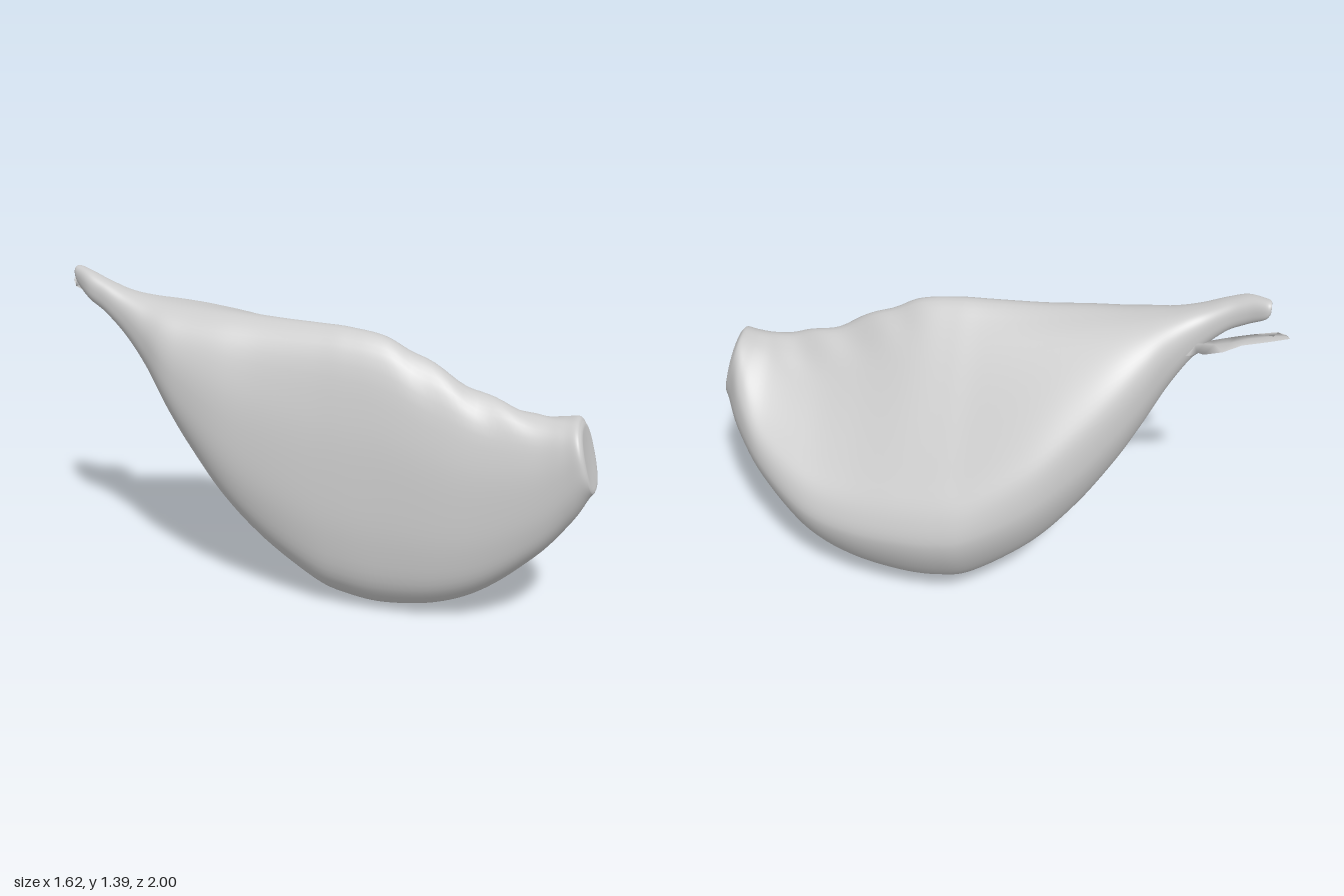
import * as THREE from 'three';

const grey = new THREE.MeshStandardMaterial({ color: 0xcccccc, roughness: 0.8, side: THREE.DoubleSide });

// Skin a list of closed rings (arrays of Vector3) and close both ends with a fan.
function loft(name, rings) {
  const n = rings[0].length, pos = [], idx = [];
  const centre = ring => ring.reduce((a, p) => a.add(p), new THREE.Vector3()).divideScalar(n);
  for (const ring of rings) for (const p of ring) pos.push(p.x, p.y, p.z);
  const last = (rings.length - 1) * n, start = rings.length * n, end = start + 1;
  for (const ring of [rings[0], rings[rings.length - 1]]) pos.push(...centre(ring).toArray());
  for (let j = 0; j < n; j++) {
    const k = (j + 1) % n;
    for (let i = 0; i < last; i += n) idx.push(i + j, i + n + j, i + k, i + n + j, i + n + k, i + k);
    idx.push(start, j, k, end, last + k, last + j);
  }
  const geo = new THREE.BufferGeometry();
  geo.setAttribute('position', new THREE.Float32BufferAttribute(pos, 3));
  geo.setIndex(idx);
  geo.computeVertexNormals();
  const mesh = new THREE.Mesh(geo, grey);
  mesh.name = name;
  return mesh;
}

// Clove axes: s runs from stem to root, w from the flat side to the bulging side.
const place = (s, w, y) => new THREE.Vector3(0.67 * s + 0.74 * w, y, 0.74 * s - 0.67 * w);

// Stations along the clove: s, flat side w, bulging side w, bottom y, top y, roundness.
const stations = [
  [-1.17, -0.03, 0.02, 1.33, 1.38, 1],
  [-1.15, -0.05, 0.025, 1.3, 1.385, 1],
  [-1.08, -0.1, 0.0, 1.25, 1.375, 1],
  [-1.0, -0.12, -0.005, 1.2, 1.345, 1],
  [-0.9, -0.145, 0.025, 1.1, 1.305, 1],
  [-0.8, -0.185, 0.1, 0.96, 1.28, 1],
  [-0.7, -0.235, 0.21, 0.78, 1.27, 0.9],
  [-0.6, -0.26, 0.3, 0.61, 1.265, 0.78],
  [-0.45, -0.28, 0.405, 0.395, 1.26, 0.58],
  [-0.27, -0.28, 0.505, 0.21, 1.25, 0.35],
  [-0.04, -0.28, 0.575, 0.055, 1.24, 0.12],
  [0.1, -0.28, 0.58, 0.012, 1.232, 0.04],
  [0.27, -0.28, 0.555, 0.0, 1.2, 0],
  [0.5, -0.285, 0.5, 0.042, 1.085, 0.03],
  [0.7, -0.285, 0.425, 0.14, 0.995, 0.1],
  [0.9, -0.285, 0.28, 0.32, 0.95, 0.28],
  [1.02, -0.285, 0.135, 0.5, 0.945, 0.65],
  [1.08, -0.285, 0.02, 0.62, 0.945, 1],
  [1.1, -0.275, -0.015, 0.65, 0.93, 1],
];

// Unit cross-section, clockwise from the ridge: across (0 flat, 1 bulge), height.
const section = new THREE.CatmullRomCurve3([
  [0.21, 1], [0.34, 0.93], [0.57, 0.755], [0.81, 0.57], [0.95, 0.45], [0.99, 0.34], [0.86, 0.15], [0.6, 0.03],
  [0.36, 0], [0.16, 0.025], [0.04, 0.12], [0, 0.28], [0, 0.48], [0.03, 0.72], [0.11, 0.94],
].map(([a, b]) => new THREE.Vector3(a, b, 0)), true, 'centripetal');

// Slightly squared circle that the section relaxes into toward both ends.
const squared = v => 0.5 + 0.5 * Math.sign(v) * Math.abs(v) ** 0.85;

// Smooth interpolation between stations.
function stationAt(t) {
  const f = t * (stations.length - 1), i = Math.min(Math.floor(f), stations.length - 2), u = f - i;
  const at = k => stations[Math.max(0, Math.min(stations.length - 1, k))];
  return stations[i].map((p1, c) => {
    const p0 = at(i - 1)[c], p2 = at(i + 1)[c], p3 = at(i + 2)[c];
    return p1 + 0.5 * u * (p2 - p0 + u * (2 * p0 - 5 * p1 + 4 * p2 - p3 + u * (3 * (p1 - p2) + p3 - p0)));
  });
}

function cloveBody() {
  const around = 72, along = 114, rings = [];
  const outline = Array.from({ length: around }, (_, j) => section.getPoint(j / around));
  for (let i = 0; i <= along; i++) {
    const [s, wl, wr, yb, yt, round] = stationAt(i / along);
    // the root end leans back so that its scar faces slightly upward
    const lean = 0.07 * THREE.MathUtils.smoothstep(s, 0.85, 1.08);
    // shrivelled dents along the ridge near the root
    const fade = THREE.MathUtils.smoothstep(s, 0.2, 0.4) * (1 - THREE.MathUtils.smoothstep(s, 0.75, 0.95));
    rings.push(outline.map((p, j) => {
      const ang = (j / around) * Math.PI * 2 - 0.35;
      const a = THREE.MathUtils.lerp(p.x, squared(Math.sin(ang)), round);
      const b = THREE.MathUtils.lerp(p.y, squared(Math.cos(ang)), round);
      const dent = 0.009 * fade * THREE.MathUtils.smoothstep(b, 0.85, 0.97) * Math.sin(s * 24 + a * 14);
      return place(s - lean * (b - 0.5), wl + a * (wr - wl), yb + b * (yt - yb) + dent);
    }));
  }
  // shallow dished root scar
  const rim = rings[rings.length - 1];
  const mid = rim.reduce((m, p) => m.add(p), new THREE.Vector3()).divideScalar(around);
  for (const [scale, depth] of [[0.94, 0.005], [0.85, 0.005], [0.5, 0.001], [0.2, 0]])
    rings.push(rim.map(p => p.clone().lerp(mid, 1 - scale).add(place(depth, 0, 0))));
  return loft('cloveBody', rings);
}

// Torn papery skin beside the stem: left edge, right edge, half thickness per row.
function skinFlake() {
  const rows = [
    [-0.64, 1.12, -0.58, -0.49, 1.1, -0.6, 0.05],
    [-0.62, 1.15, -0.66, -0.54, 1.14, -0.68, 0.03],
    [-0.64, 1.18, -0.7, -0.54, 1.175, -0.72, 0.014],
    [-0.67, 1.205, -0.75, -0.52, 1.2, -0.77, 0.008],
    [-0.69, 1.225, -0.79, -0.55, 1.235, -0.84, 0.006],
    [-0.73, 1.25, -0.85, -0.62, 1.255, -0.875, 0.004],
    [-0.775, 1.275, -0.92, -0.69, 1.28, -0.95, 0.003],
    [-0.765, 1.29, -0.965, -0.75, 1.295, -1.0, 0.002],
  ];
  return loft('skinFlake', rows.map(([lx, ly, lz, rx, ry, rz, t]) => {
    const l = new THREE.Vector3(lx, ly, lz), r = new THREE.Vector3(rx, ry, rz);
    const m = l.clone().lerp(r, 0.5), up = new THREE.Vector3(0, t, 0);
    return [l, m.clone().sub(up), r, m.clone().add(up)];
  }));
}

export function createModel() {
  const group = new THREE.Group();
  group.name = 'clove';
  group.add(cloveBody(), skinFlake());
  return group;
}
